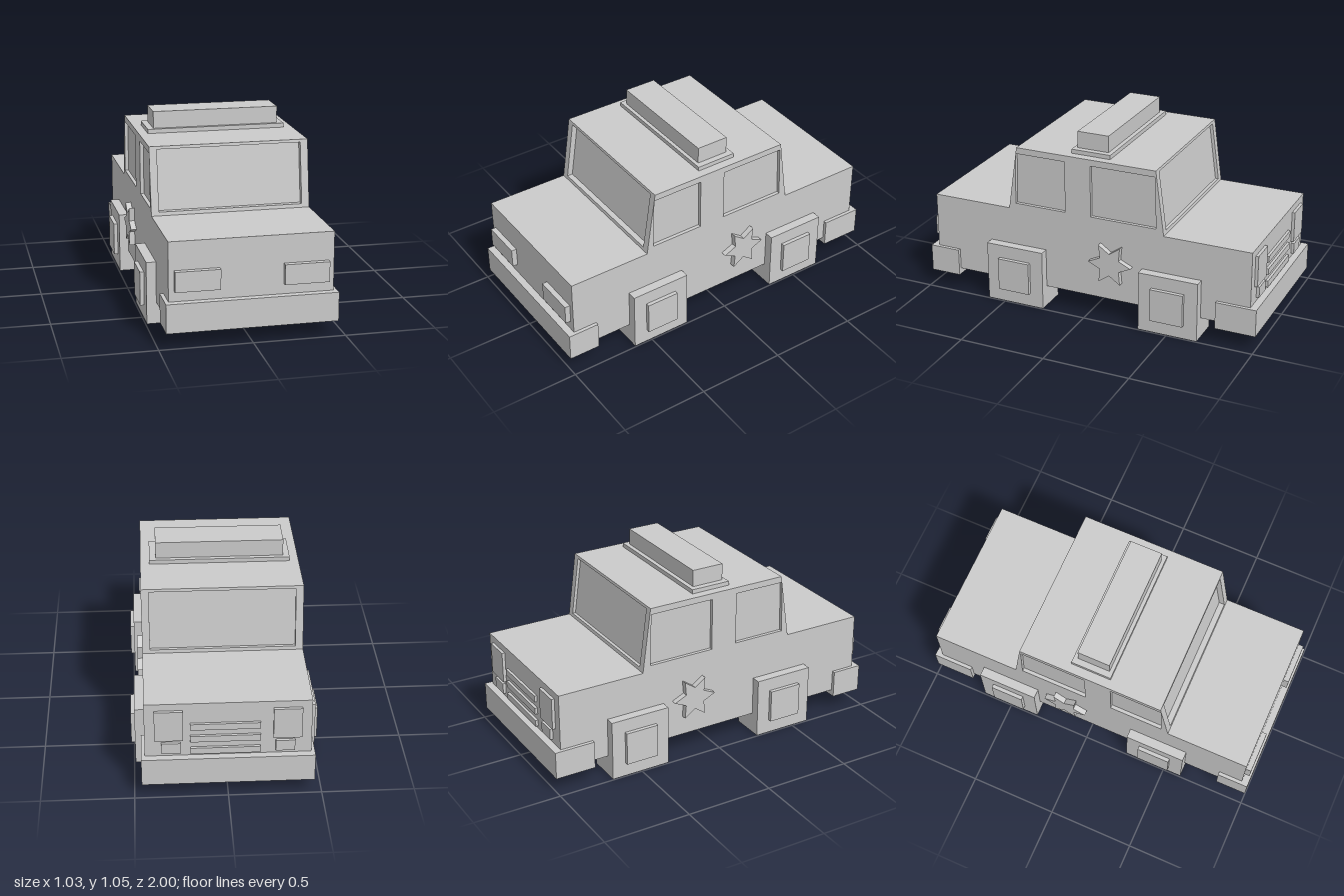
import * as THREE from 'three';

export function createModel() {
  const model = new THREE.Group();
  const mat = new THREE.MeshStandardMaterial({ color: 0xcccccc, flatShading: true });

  const add = (name, geo) => {
    const mesh = new THREE.Mesh(geo, mat);
    mesh.name = name;
    model.add(mesh);
    return mesh;
  };
  // Box given by its extents along each axis
  const box = (name, x0, x1, y0, y1, z0, z1) =>
    add(name, new THREE.BoxGeometry(x1 - x0, y1 - y0, z1 - z0)
      .translate((x0 + x1) / 2, (y0 + y1) / 2, (z0 + z1) / 2));
  const mirrored = (name, x0, x1, ...rest) => {
    box(name + 'Left', x0, x1, ...rest);
    box(name + 'Right', -x1, -x0, ...rest);
  };
  const outline = (pts) => pts.map(([a, b]) => new THREE.Vector2(a, b));
  const shapeOf = (pts, holes = []) => {
    const shape = new THREE.Shape(outline(pts));
    holes.forEach((h) => shape.holes.push(new THREE.Path(outline(h))));
    return shape;
  };
  const extrude = (shape, depth) =>
    new THREE.ExtrudeGeometry(shape, { depth, bevelEnabled: false });
  // Side profile drawn as (z, y), extruded along x from x0 to x1
  const profile = (name, shape, x0, x1) =>
    add(name, extrude(shape, x1 - x0).rotateY(-Math.PI / 2).translate(x1, 0, 0));

  // Body and bumpers
  box('body', -0.44, 0.44, 0.12, 0.565, -0.96, 0.96);
  box('frontBumper', -0.46, 0.46, 0.085, 0.243, 0.82, 1);
  box('rearBumper', -0.46, 0.46, 0.085, 0.243, -1, -0.767);

  // Wheels with square hubs
  for (const [name, z] of [['front', 0.433], ['rear', -0.503]]) {
    mirrored(name + 'Wheel', 0.3, 0.493, 0, 0.347, z - 0.174, z + 0.174);
    mirrored(name + 'Hub', 0.48, 0.515, 0.08, 0.27, z - 0.096, z + 0.096);
  }

  // Head lights, tail lights and rear slats
  mirrored('headlight', 0.17, 0.41, 0.3, 0.41, 0.95, 0.99);
  mirrored('tailLight', 0.237, 0.388, 0.345, 0.525, -0.977, -0.95);
  mirrored('reverseLight', 0.25, 0.352, 0.265, 0.328, -0.977, -0.95);
  for (let i = 0; i < 3; i++) {
    const y = 0.257 + i * 0.075;
    box('rearSlat' + (i + 1), -0.17, 0.2, y, y + 0.037, -0.975, -0.95);
  }

  // Cabin core, inset so that it forms the glass behind the frames
  const y0 = 0.565, y1 = 0.936;
  const cabin = (front, rear) => [
    [0.485 - front, y0], [0.43 - front, y1], [-0.405 + rear, y1], [-0.455 + rear, y0],
  ];
  profile('cabinGlass', shapeOf(cabin(0.032, 0.018)), -0.42, 0.42);

  // Side frames with two window openings each
  const sideFrame = shapeOf(cabin(0, 0), [
    [[0.443, 0.6], [0.135, 0.6], [0.135, 0.9], [0.435, 0.9]],
    [[-0.02, 0.6], [-0.41, 0.6], [-0.4, 0.9], [-0.02, 0.9]],
  ]);
  profile('sideFrameLeft', sideFrame, 0.42, 0.44);
  profile('sideFrameRight', sideFrame, -0.44, -0.42);

  // Front and rear frames, sheared to follow the slope of the cabin
  const rect = (w, a, b) => [[-w, a], [w, a], [w, b], [-w, b]];
  const endFrame = (name, depth, zStart, slope) => {
    const geo = extrude(shapeOf(rect(0.42, y0, y1), [rect(0.398, 0.585, 0.92)]), depth);
    const p = geo.attributes.position;
    for (let i = 0; i < p.count; i++) {
      p.setZ(i, p.getZ(i) + zStart + slope * (p.getY(i) - y0) / (y1 - y0));
    }
    geo.computeVertexNormals();
    add(name, geo);
  };
  endFrame('windshieldFrame', 0.032, 0.453, -0.055);
  endFrame('rearWindowFrame', 0.018, -0.455, 0.05);

  // Roof light bar
  box('lightBarBase', -0.39, 0.39, 0.93, 0.96, -0.117, 0.115);
  box('lightBar', -0.355, 0.355, 0.955, 1.055, -0.092, 0.094);

  // Six-pointed star on each door
  const star = [];
  for (let i = 0; i < 12; i++) {
    const r = i % 2 ? 0.066 : 0.128;
    const a = (i * Math.PI) / 6;
    star.push([-0.145 + r * Math.cos(a), 0.345 + r * Math.sin(a)]);
  }
  profile('starLeft', shapeOf(star), 0.43, 0.472);
  profile('starRight', shapeOf(star), -0.472, -0.43);

  return model;
}
